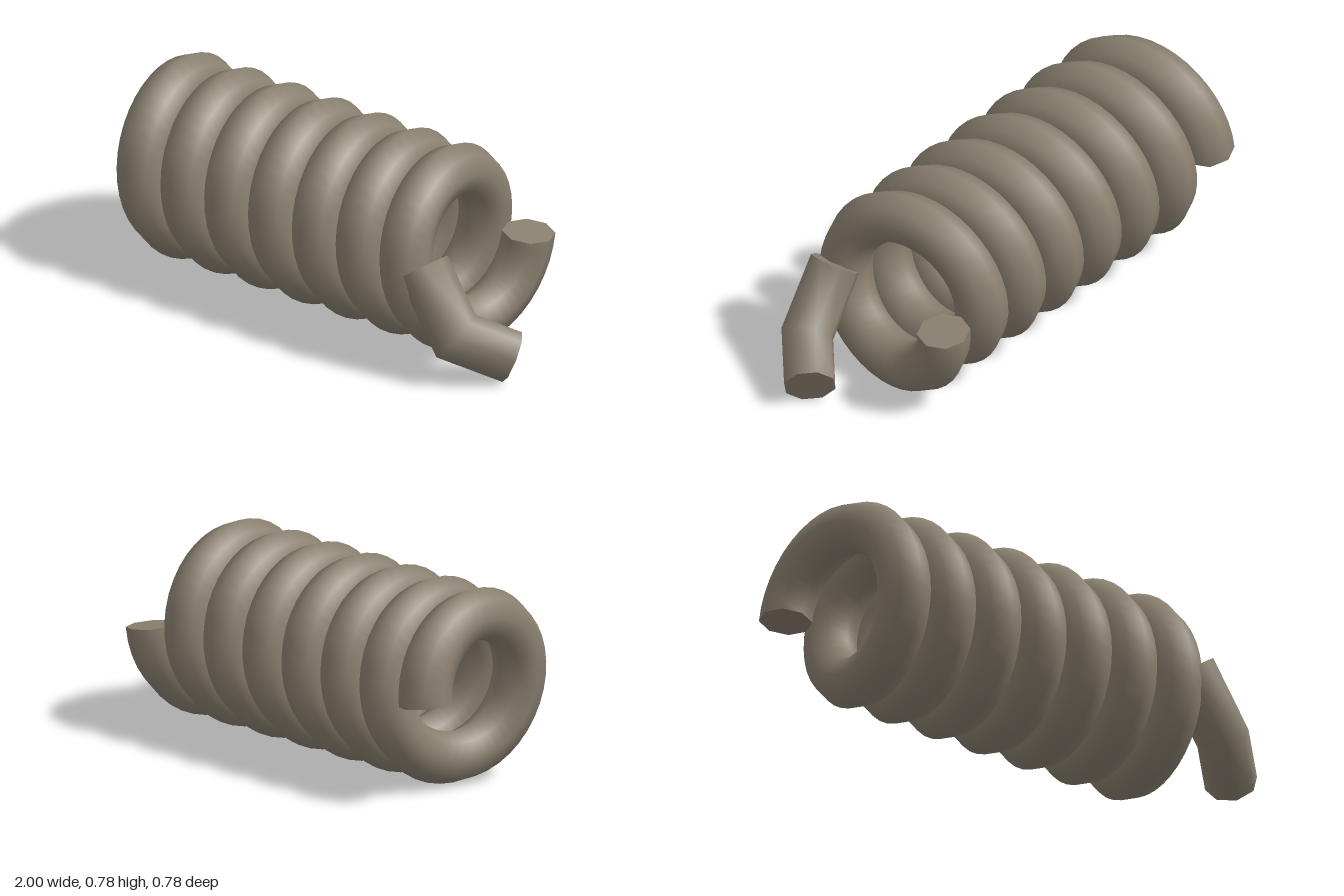
import * as THREE from 'three';

const SIDES = 8;
const WIRE = 0.102; // wire radius

// Skin a list of rings (arrays of Vector3) and close both ends with flat caps
function skin(rings) {
  const pos = [];
  const index = [];
  const push = (p) => pos.push(p.x, p.y, p.z) / 3 - 1;
  rings.forEach((ring) => ring.forEach(push));
  for (let i = 0; i < rings.length - 1; i++) {
    for (let j = 0; j < SIDES; j++) {
      const a = i * SIDES + j;
      const b = i * SIDES + ((j + 1) % SIDES);
      index.push(a, b, a + SIDES, b, b + SIDES, a + SIDES);
    }
  }
  const cap = (ring, flip) => {
    const first = pos.length / 3;
    ring.forEach(push);
    for (let j = 1; j < SIDES - 1; j++) {
      index.push(first, first + (flip ? j + 1 : j), first + (flip ? j : j + 1));
    }
  };
  cap(rings[0], true);
  cap(rings[rings.length - 1], false);
  const geometry = new THREE.BufferGeometry();
  geometry.setAttribute('position', new THREE.Float32BufferAttribute(pos, 3));
  geometry.setIndex(index);
  geometry.computeVertexNormals();
  return geometry;
}

// Offsets of a ring around direction d, with one corner pointing along u
function ringOffsets(d, u) {
  const v = new THREE.Vector3().crossVectors(d, u).normalize();
  return Array.from({ length: SIDES }, (_, j) => {
    const a = (j / SIDES) * Math.PI * 2;
    return u.clone().multiplyScalar(Math.cos(a) * WIRE).addScaledVector(v, Math.sin(a) * WIRE);
  });
}

// Helix along x: begins at the back, rises over the top and comes down the front
function coilGeometry() {
  const turns = 7, perTurn = 40, radius = 0.29, pitch = 0.22;
  const rings = [];
  for (let i = 0; i <= turns * perTurn; i++) {
    const a = (i / perTurn) * Math.PI * 2;
    const out = new THREE.Vector3(0, Math.sin(a), -Math.cos(a));
    const along = new THREE.Vector3(
      pitch / (Math.PI * 2), radius * Math.cos(a), radius * Math.sin(a)
    ).normalize();
    const centre = out.clone().multiplyScalar(radius);
    centre.x = -0.895 + (i / perTurn) * pitch;
    centre.y += 0.4;
    rings.push(ringOffsets(along, out).map((o) => o.add(centre)));
  }
  return skin(rings);
}

// Bent tail with a mitred joint
function tailGeometry() {
  const path = [[0.61, 0.43, 0.28], [0.775, 0.19, 0.28], [0.93, 0.1, 0.135]]
    .map((p) => new THREE.Vector3(...p));
  const d1 = path[1].clone().sub(path[0]).normalize();
  const d2 = path[2].clone().sub(path[1]).normalize();
  const slide = (offsets, d, n) =>
    offsets.map((o) => o.clone().addScaledVector(d, -o.dot(n) / d.dot(n)));
  const start = ringOffsets(d1, new THREE.Vector3(0, 0, 1));
  const joint = slide(start, d1, d1.clone().add(d2).normalize());
  const end = slide(joint, d2, d2);
  return skin([start, joint, end].map((r, i) => r.map((o) => o.clone().add(path[i]))));
}

export function createModel() {
  const group = new THREE.Group();
  group.name = 'coil';
  const wire = new THREE.MeshStandardMaterial({ color: 0x8a8070 });
  wire.name = 'taupe';
  const add = (name, geometry) => {
    const mesh = new THREE.Mesh(geometry, wire);
    mesh.name = name;
    group.add(mesh);
  };
  add('coilTurns', coilGeometry());
  add('bentTail', tailGeometry());
  return group;
}
